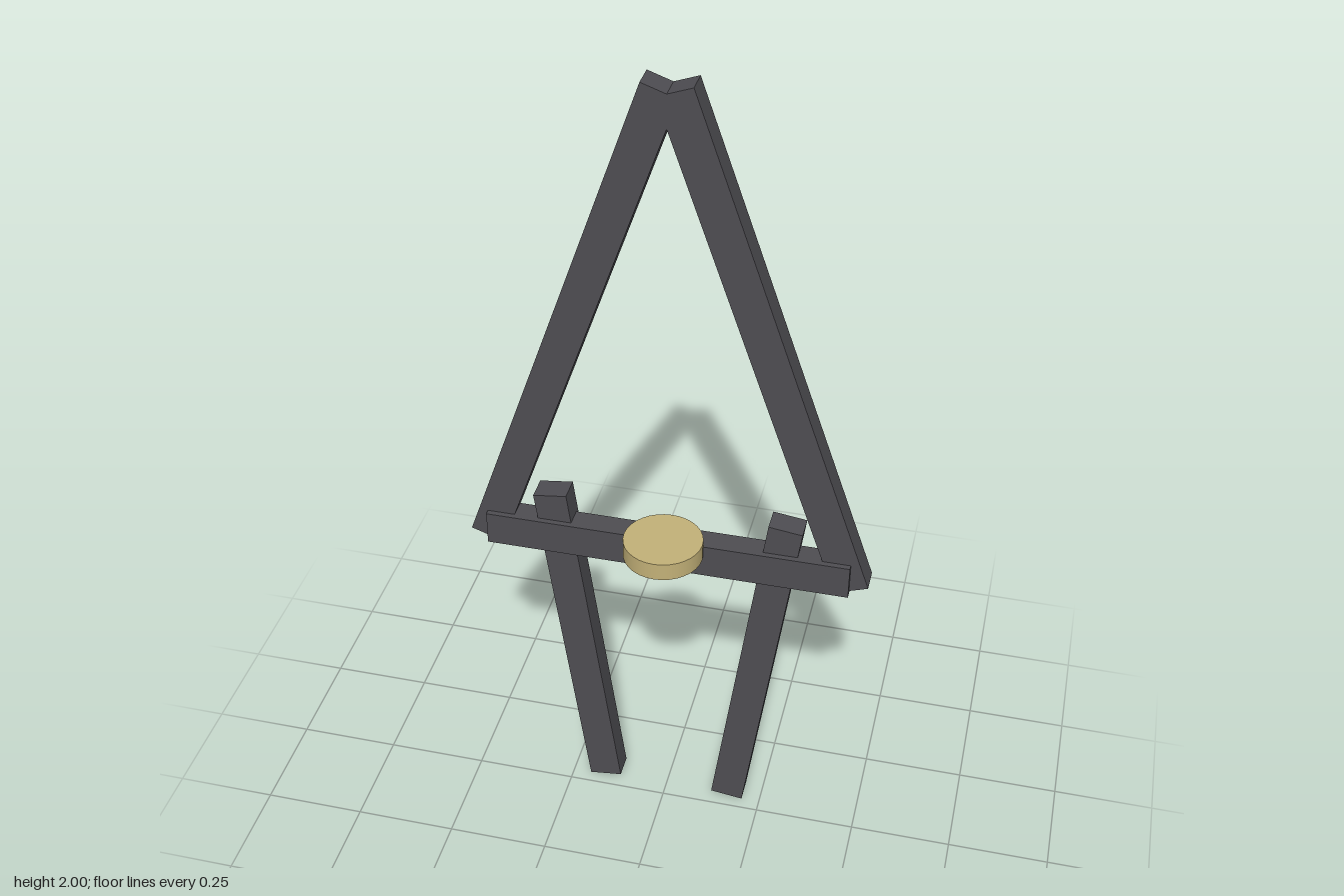
import * as THREE from 'three';

export function createModel() {
  const model = new THREE.Group();
  const charcoal = new THREE.MeshStandardMaterial({ color: 0x4e4d52 });
  charcoal.name = 'charcoal';
  const brass = new THREE.MeshStandardMaterial({ color: 0xc3b178 });
  brass.name = 'brass';

  function add(name, geometry, material, x, y, z, tilt = 0) {
    const mesh = new THREE.Mesh(geometry, material);
    mesh.name = name;
    mesh.position.set(x, y, z);
    mesh.rotation.z = tilt;
    model.add(mesh);
  }

  // Mirrored pairs: long beams meeting at the apex, and legs splaying outwards to the top
  for (const [side, s] of [['left', 1], ['right', -1]]) {
    add(side + 'Beam', new THREE.BoxGeometry(0.085, 1.294, 0.06), charcoal, s * 0.231, 1.376, -0.06, s * 0.339);
    add(side + 'Leg', new THREE.BoxGeometry(0.082, 0.916, 0.06), charcoal, s * 0.224, 0.4595, -0.06, -s * 0.133);
  }

  // Crossbar sits slightly forward of the beams
  add('crossbar', new THREE.BoxGeometry(0.884, 0.086, 0.06), charcoal, 0, 0.798, -0.046);

  // Round disc let into the middle of the crossbar
  add('disc', new THREE.CylinderGeometry(0.095, 0.095, 0.045, 32), brass, 0, 0.837, 0);

  return model;
}
